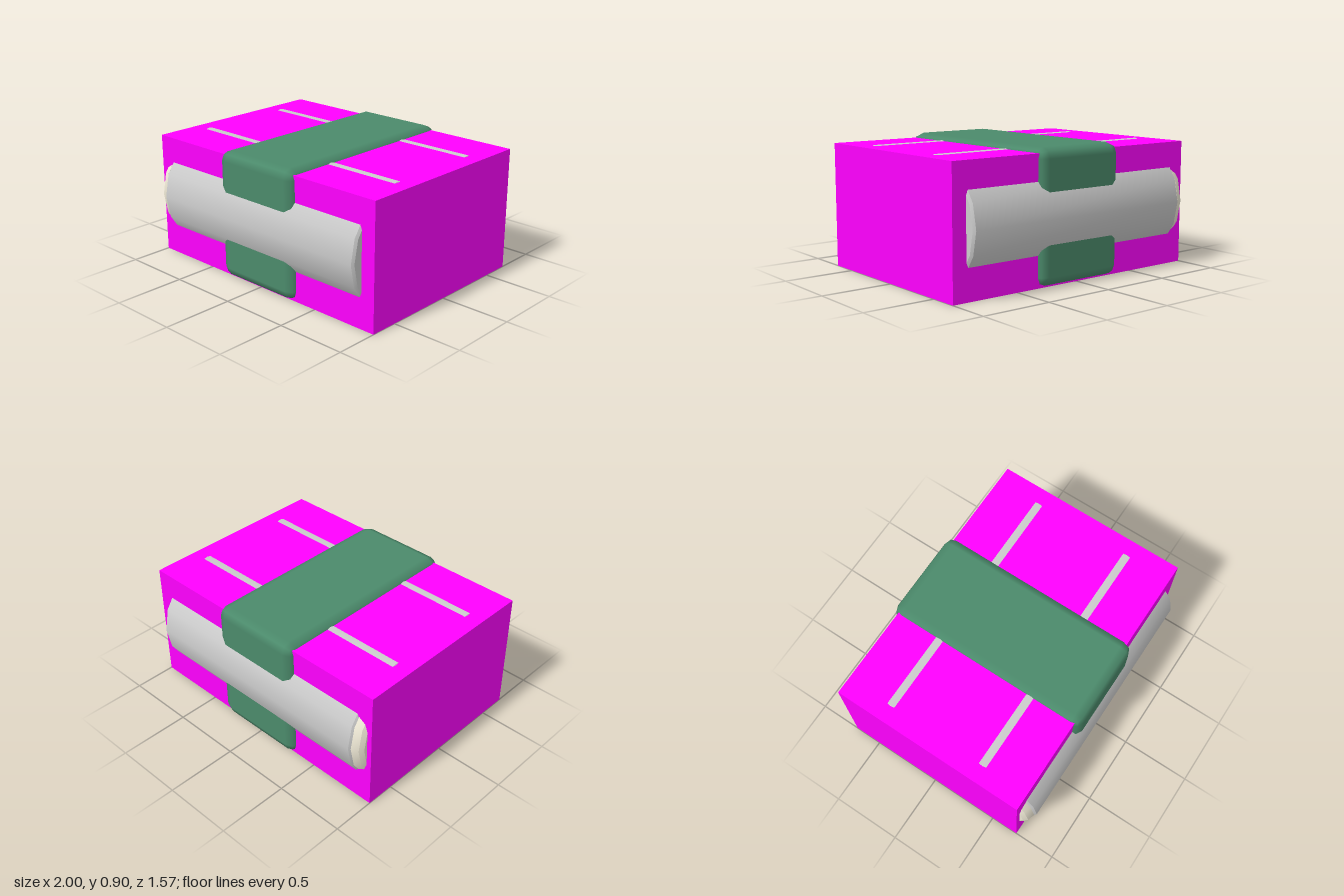
import * as THREE from 'three';
import { toCreasedNormals } from 'three/addons/utils/BufferGeometryUtils.js';
import { RoundedBoxGeometry } from 'three/addons/geometries/RoundedBoxGeometry.js';

const MID_Y = 0.4525;

function makeMesh(name, geometry, color) {
  const mesh = new THREE.Mesh(geometry, new THREE.MeshStandardMaterial({ color }));
  mesh.name = name;
  return mesh;
}

// Sixteen-sided turned part lying along x; profile points are [radius, x].
function turned(profile) {
  const points = profile.map(([r, x]) => new THREE.Vector2(r, x));
  const lathe = new THREE.LatheGeometry(points, 16).rotateZ(-Math.PI / 2);
  return toCreasedNormals(lathe, 0.55);
}

export function createModel() {
  const model = new THREE.Group();

  // Plain block enclosing the cylinders
  const block = makeMesh('block', new THREE.BoxGeometry(2, 0.87, 1.4), 0xff00ff);
  block.position.y = 0.435;
  model.add(block);

  // Bevelled strap wrapped around the middle
  const strap = makeMesh('strap', new RoundedBoxGeometry(0.69, 0.905, 1.49, 1, 0.07), 0x4b8a6b);
  strap.position.y = MID_Y;
  model.add(strap);

  // Two parallel cylinders, each with a pale cap at the -x end
  const bodyProfile = [[0, -0.9], [0.402, -0.9], [0.423, -0.882], [0.423, 0.885], [0.405, 0.898], [0, 0.898]];
  const capProfile = [[0, -0.97], [0.365, -0.965], [0.395, -0.945], [0.412, -0.895], [0, -0.895]];
  for (const [side, name] of [[1, 'front'], [-1, 'back']]) {
    const cell = new THREE.Group();
    cell.name = name + 'Cylinder';
    cell.add(makeMesh(name + 'CylinderBody', turned(bodyProfile), 0xcccccc));
    cell.add(makeMesh(name + 'CylinderCap', turned(capProfile), 0xeee8d5));
    cell.position.set(0, MID_Y, side * 0.36);
    model.add(cell);
  }

  return model;
}
